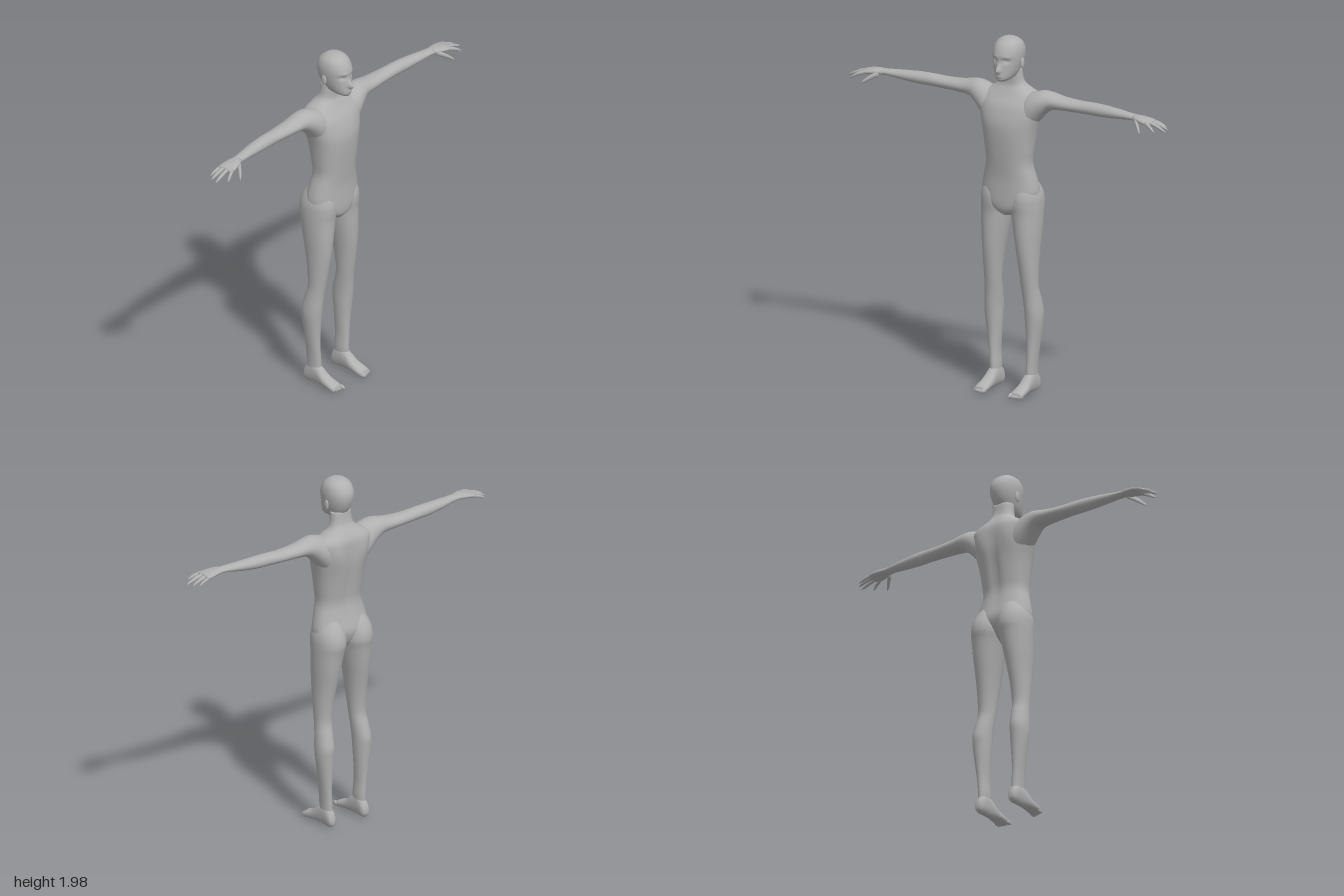
import * as THREE from 'three';

const skin = new THREE.MeshStandardMaterial({ color: 0xb0b0b0 });
skin.name = 'skin grey';

// Axis maps: (u, v, t) placed so that u x v = t
const alongY = (u, v, t) => [v, t, u];
const alongX = (u, v, t) => [t, u, v];
const alongZ = (u, v, t) => [u, v, t];

// Smooth interpolation of section keys
function refine(keys, steps) {
  const out = [];
  const last = keys.length - 1;
  for (let i = 0; i < last; i++) {
    const [a, b, c, d] = [keys[Math.max(i - 1, 0)], keys[i], keys[i + 1], keys[Math.min(i + 2, last)]];
    for (let s = 0; s < steps; s++) {
      const f = s / steps;
      out.push(b.map((_, k) => 0.5 * (2 * b[k] + (c[k] - a[k]) * f
        + (2 * a[k] - 5 * b[k] + 4 * c[k] - d[k]) * f * f
        + (3 * b[k] - a[k] - 3 * c[k] + d[k]) * f * f * f)));
    }
  }
  out.push(keys[last]);
  return out;
}

// Loft of superellipse sections; each key is [t, u0, u1, v0, v1]
function loft(keys, place, { sides = 24, steps = 4, power = 2.2, deform = null } = {}) {
  const rings = refine(keys, steps);
  const pos = [], index = [];
  const add = (u, v, t) => {
    const p = place(u, v, t);
    if (deform) deform(p);
    pos.push(...p);
  };
  const se = (x) => Math.sign(x) * Math.abs(x) ** (2 / power);
  for (const [t, u0, u1, v0, v1] of rings) {
    for (let j = 0; j < sides; j++) {
      const a = (j / sides) * Math.PI * 2;
      add((u0 + u1) / 2 + (u1 - u0) / 2 * se(Math.cos(a)), (v0 + v1) / 2 + (v1 - v0) / 2 * se(Math.sin(a)), t);
    }
  }
  const n = rings.length;
  for (let i = 0; i < n - 1; i++) {
    for (let j = 0; j < sides; j++) {
      const k = (j + 1) % sides;
      const a = i * sides + j, b = i * sides + k, c = a + sides, d = b + sides;
      index.push(a, b, c, b, d, c);
    }
  }
  // End caps
  for (const i of [0, n - 1]) {
    const [t, u0, u1, v0, v1] = rings[i];
    const centre = pos.length / 3;
    add((u0 + u1) / 2, (v0 + v1) / 2, t);
    for (let j = 0; j < sides; j++) {
      const a = i * sides + j, b = i * sides + (j + 1) % sides;
      if (i === 0) index.push(centre, b, a);
      else index.push(centre, a, b);
    }
  }
  const geo = new THREE.BufferGeometry();
  geo.setAttribute('position', new THREE.Float32BufferAttribute(pos, 3));
  geo.setIndex(index);
  geo.computeVertexNormals();
  return geo;
}

function ball(x, y, z, rx, ry, rz) {
  return new THREE.SphereGeometry(1, 14, 10).scale(rx, ry, rz).translate(x, y, z);
}

// Reflection across x = 0 with corrected winding
function mirrored(geo) {
  const g = geo.clone().scale(-1, 1, 1);
  const ix = g.index.array;
  for (let i = 0; i < ix.length; i += 3) [ix[i], ix[i + 1]] = [ix[i + 1], ix[i]];
  g.computeVertexNormals();
  return g;
}

// Tapered digit running along x from p to q through a raised knuckle
function digit(p, q, r) {
  const key = (f, lift, s) => {
    const [x, y, z] = p.map((v, i) => v + (q[i] - v) * f);
    return [x, y + lift - r * s, y + lift + r * s, z - r * s, z + r * s];
  };
  return loft([key(0, 0, 1), key(0.5, 0.004, 0.95), key(0.85, 0.002, 0.65), key(1, 0, 0.15)], alongX, { sides: 10, steps: 3, power: 2 });
}

const gauss = (d, s) => Math.exp(-((d / s) ** 2));

// Facial relief
function face(p) {
  const [x, y, z] = p;
  if (z < 0.03) return;
  const side = Math.abs(x);
  const nose = 0.032 * gauss(x, 0.012) * gauss(y - 0.0 - 1.812, y > 1.812 ? 0.03 : 0.012);
  const socket = -0.011 * gauss(side - 0.036, 0.017) * gauss(y - 1.866, 0.012);
  const brow = 0.004 * gauss(side - 0.03, 0.03) * gauss(y - 1.888, 0.01);
  const lips = 0.008 * gauss(x, 0.02) * (gauss(y - 1.792, 0.005) + gauss(y - 1.78, 0.005));
  p[2] += nose + socket + brow + lips;
}

// Spine groove and shoulder blades
function back(p) {
  const [x, y, z] = p;
  if (z > -0.04) return;
  p[2] += 0.014 * gauss(x, 0.025) * gauss(y - 1.42, 0.22);
  p[2] -= 0.01 * gauss(Math.abs(x) - 0.09, 0.04) * gauss(y - 1.58, 0.07);
}

export function createModel() {
  const model = new THREE.Group();
  model.name = 'figure';
  const add = (name, geo) => {
    const m = new THREE.Mesh(geo, skin);
    m.name = name;
    model.add(m);
  };
  const pair = (name, geo) => {
    add('left ' + name, geo);
    add('right ' + name, mirrored(geo));
  };

  // Torso and neck: y, back, front, right, left
  const body = [
    [0.99, -0.03, 0.045, 0.025], [1.02, -0.07, 0.072, 0.08], [1.06, -0.1, 0.08, 0.14],
    [1.12, -0.118, 0.08, 0.168], [1.2, -0.102, 0.08, 0.154], [1.28, -0.09, 0.088, 0.134],
    [1.36, -0.1, 0.097, 0.14], [1.45, -0.115, 0.105, 0.152], [1.52, -0.125, 0.103, 0.168],
    [1.6, -0.126, 0.08, 0.19], [1.65, -0.122, 0.05, 0.18], [1.685, -0.105, 0.03, 0.12],
    [1.71, -0.088, 0.018, 0.082], [1.74, -0.073, 0.016, 0.066], [1.8, -0.065, 0.02, 0.058],
  ].map(([y, b, f, w]) => [y, b, f, -w, w]);
  add('torso', loft(body, alongY, { sides: 48, steps: 4, power: 2.3, deform: back }));

  // Head
  const head = [
    [1.75, 0.02, 0.1, 0.022], [1.765, -0.03, 0.11, 0.043], [1.79, -0.06, 0.108, 0.058],
    [1.82, -0.08, 0.106, 0.068], [1.85, -0.092, 0.104, 0.075], [1.88, -0.098, 0.104, 0.079],
    [1.91, -0.096, 0.1, 0.079], [1.94, -0.082, 0.085, 0.072], [1.96, -0.062, 0.066, 0.058],
    [1.975, -0.035, 0.04, 0.036], [1.98, -0.008, 0.014, 0.01],
  ].map(([y, b, f, w]) => [y, b, f, -w, w]);
  add('head', loft(head, alongY, { sides: 64, steps: 6, power: 2.15, deform: face }));
  pair('eye', ball(0.036, 1.866, 0.078, 0.012, 0.007, 0.008));
  pair('ear', ball(0.079, 1.84, -0.005, 0.008, 0.03, 0.017));

  // Arm: x, bottom, top, back, front
  pair('arm', loft([
    [0.08, 1.44, 1.665, -0.105, 0.055], [0.14, 1.49, 1.685, -0.108, 0.06], [0.2, 1.558, 1.7, -0.1, 0.045],
    [0.25, 1.598, 1.695, -0.094, 0.028], [0.32, 1.608, 1.682, -0.088, 0.02], [0.42, 1.611, 1.677, -0.08, 0.012],
    [0.5, 1.612, 1.68, -0.072, 0.01], [0.58, 1.613, 1.68, -0.066, 0.012], [0.68, 1.623, 1.675, -0.052, 0.018],
    [0.76, 1.634, 1.67, -0.036, 0.024], [0.82, 1.636, 1.668, -0.03, 0.03],
  ], alongX, { power: 2 }));

  // Hand
  pair('palm', loft([
    [0.79, 1.637, 1.668, -0.03, 0.028], [0.83, 1.634, 1.668, -0.037, 0.045],
    [0.875, 1.632, 1.661, -0.043, 0.056], [0.905, 1.632, 1.653, -0.041, 0.053],
  ], alongX, { sides: 20 }));
  [
    [[0.885, 1.645, 0.045], [0.955, 1.613, 0.074]],
    [[0.885, 1.647, 0.02], [0.998, 1.61, 0.026]],
    [[0.885, 1.646, -0.007], [0.988, 1.612, -0.012]],
    [[0.88, 1.645, -0.031], [0.965, 1.615, -0.04]],
  ].forEach(([p, q], i) => pair('finger ' + (i + 1), digit(p, q, i === 3 ? 0.009 : 0.011)));
  pair('thumb', digit([0.805, 1.645, 0.022], [0.876, 1.598, 0.092], 0.015));

  // Leg: y, back, front, inner, outer
  pair('leg', loft([
    [0.05, -0.09, 0.0, 0.09, 0.137], [0.12, -0.09, 0.002, 0.086, 0.139], [0.2, -0.09, 0.0, 0.09, 0.146],
    [0.3, -0.096, 0.0, 0.085, 0.16], [0.4, -0.104, 0.008, 0.079, 0.173], [0.46, -0.107, 0.014, 0.077, 0.174],
    [0.53, -0.09, 0.02, 0.073, 0.167], [0.6, -0.072, 0.03, 0.069, 0.161], [0.7, -0.08, 0.046, 0.06, 0.163],
    [0.8, -0.097, 0.06, 0.047, 0.166], [0.9, -0.117, 0.066, 0.03, 0.172], [1.0, -0.133, 0.068, 0.012, 0.176],
    [1.05, -0.144, 0.074, 0.001, 0.177], [1.1, -0.139, 0.074, 0.002, 0.174], [1.15, -0.118, 0.062, 0.01, 0.158],
    [1.21, -0.08, 0.04, 0.03, 0.12],
  ], alongY, { sides: 28, power: 2.1 }));

  // Foot: z, inner, outer, bottom, top
  pair('foot', loft([
    [-0.108, 0.1, 0.128, 0.02, 0.05], [-0.092, 0.086, 0.138, 0.001, 0.09], [-0.05, 0.083, 0.141, 0, 0.125],
    [0.0, 0.081, 0.144, 0.002, 0.105], [0.045, 0.078, 0.149, 0.003, 0.066], [0.095, 0.075, 0.152, 0, 0.043],
    [0.122, 0.079, 0.148, 0.002, 0.03],
  ], alongZ));
  for (let i = 0; i < 5; i++) {
    const big = i === 0;
    pair('toe ' + (i + 1), ball(big ? 0.085 : 0.091 + i * 0.013, big ? 0.015 : 0.012, 0.122 - i * 0.004,
      big ? 0.011 : 0.007, big ? 0.014 : 0.011, big ? 0.026 : 0.022));
  }
  return model;
}
